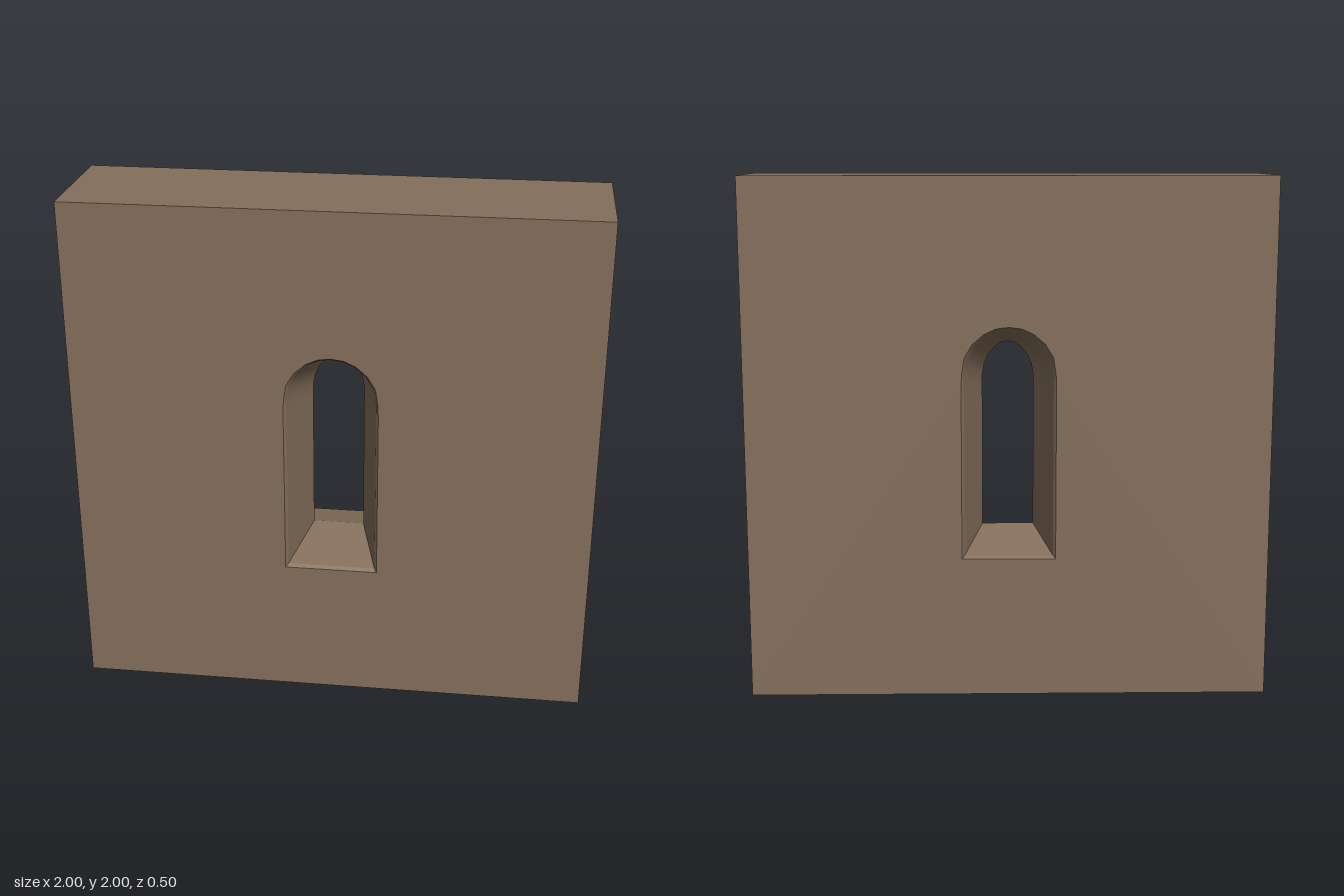
import * as THREE from 'three';
import { mergeGeometries } from 'three/addons/utils/BufferGeometryUtils.js';

const DEPTH = 0.25;

// Half outlines of the opening, from sill corner up to the crown: [x, y]
const NARROW = [[0.1, 0.625], [0.1, 1.18], [0.1, 1.225], [0.092, 1.27], [0.075, 1.307], [0.051, 1.335], [0.026, 1.352], [0, 1.357]];
const WIDE = [[0.17, 0.555], [0.17, 1.21], [0.17, 1.26], [0.16, 1.318], [0.132, 1.366], [0.09, 1.405], [0.046, 1.425], [0, 1.431]];
const RIM = [[0.18, 0.545], [0.18, 1.21], [0.178, 1.26], [0.168, 1.325], [0.138, 1.375], [0.094, 1.413], [0.048, 1.434], [0, 1.44]];

// Mirror a half outline into a full one, running right sill, crown, left sill
const mirror = (half) => [...half, ...half.slice(0, -1).reverse().map(([x, y]) => [-x, y])];

// Surface between two outlines at depths z0 < z1, facing into the opening
function band(from, z0, to, z1) {
  const pos = [], index = [], n = from.length;
  for (const [ring, z] of [[from, z0], [to, z1]]) ring.forEach(([x, y]) => pos.push(x, y, z));
  for (let i = 0; i < n - 1; i++) index.push(i, i + n, i + 1, i + n, i + n + 1, i + 1);
  const geo = new THREE.BufferGeometry();
  geo.setAttribute('position', new THREE.Float32BufferAttribute(pos, 3));
  geo.setIndex(index);
  geo.computeVertexNormals();
  return geo;
}

export function createModel() {
  const model = new THREE.Group();
  model.name = 'wallWithWindow';
  const stone = new THREE.MeshStandardMaterial({ color: 0x846f5b });
  stone.name = 'brown stone';
  const add = (geo, name) => {
    const mesh = new THREE.Mesh(geo, stone);
    mesh.name = name;
    model.add(mesh);
  };

  // Front and back faces, pierced by the arched opening
  const outline = new THREE.Shape([[-1, 0], [1, 0], [1, 2], [-1, 2]].map((p) => new THREE.Vector2(...p)));
  outline.holes.push(new THREE.Path(mirror(RIM).map((p) => new THREE.Vector2(...p))));
  const face = new THREE.ShapeGeometry(outline).translate(0, 0, DEPTH);
  add(face, 'frontFace');
  add(face.clone().rotateY(Math.PI), 'backFace');

  // Outer edges of the block
  for (const s of [1, -1]) {
    add(new THREE.PlaneGeometry(2 * DEPTH, 2).rotateY(s * Math.PI / 2).translate(s, 1, 0), s > 0 ? 'leftEnd' : 'rightEnd');
    add(new THREE.PlaneGeometry(2, 2 * DEPTH).rotateX(-s * Math.PI / 2).translate(0, 1 + s, 0), s > 0 ? 'top' : 'base');
  }

  // Splayed opening: narrowest in the middle, with a small chamfer at each rim
  const sections = [[RIM, -DEPTH], [WIDE, -0.235], [NARROW, 0], [WIDE, 0.235], [RIM, DEPTH]];
  const reveal = [], sill = [];
  for (let i = 0; i < sections.length - 1; i++) {
    const [a, z0] = sections[i], [b, z1] = sections[i + 1];
    reveal.push(band(mirror(a), z0, mirror(b), z1));
    const bottom = ([[x, y]]) => [[-x, y], [x, y]];
    sill.push(band(bottom(a), z0, bottom(b), z1));
  }
  add(mergeGeometries(reveal), 'jambsAndArch');
  add(mergeGeometries(sill), 'sill');

  return model;
}
